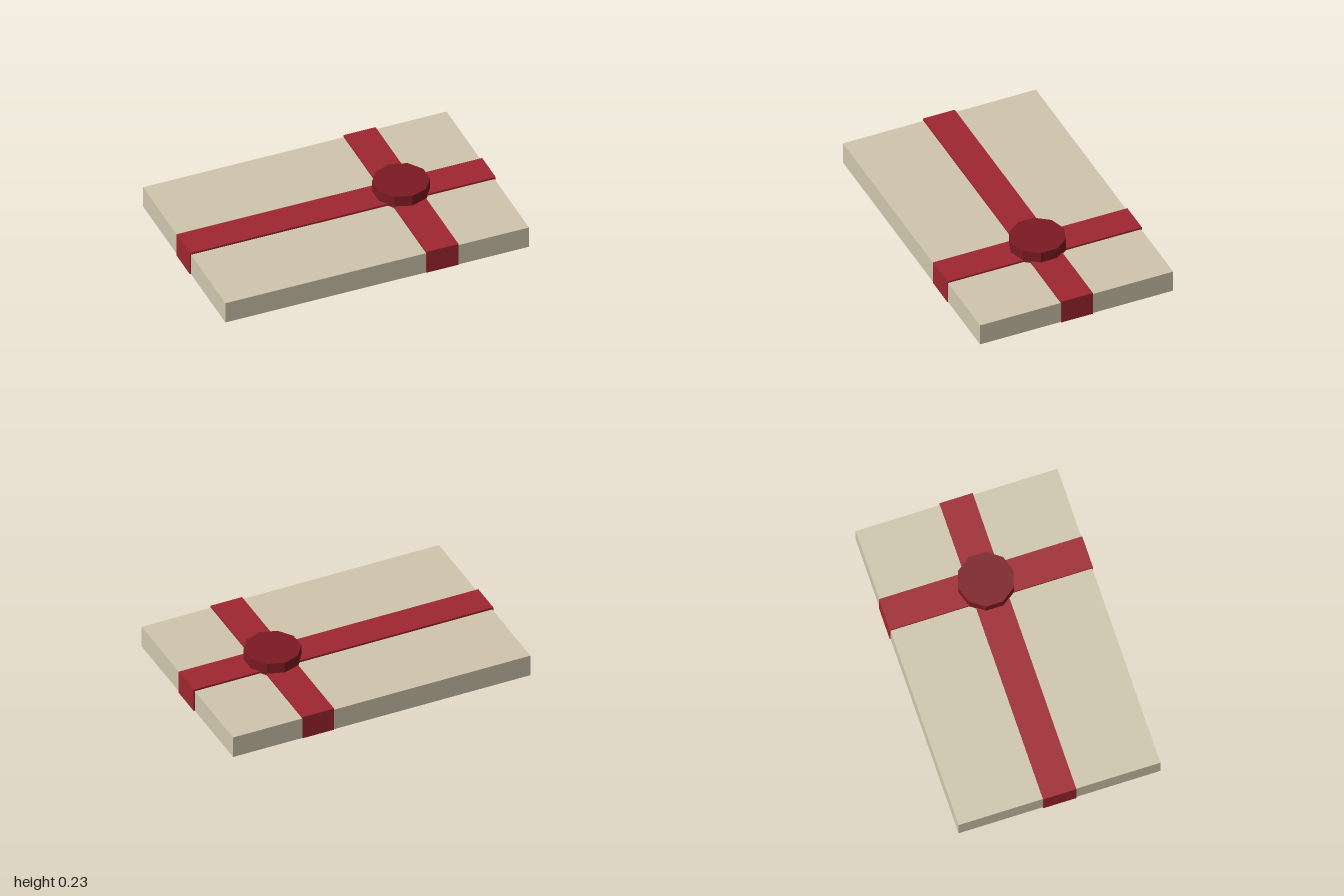
import * as THREE from 'three';

export function createModel() {
  const group = new THREE.Group();
  group.name = 'wrappedParcel';

  const add = (name, geometry, color, x, y, z) => {
    const material = new THREE.MeshStandardMaterial({ color, flatShading: true });
    const mesh = new THREE.Mesh(geometry, material);
    mesh.name = name;
    mesh.position.set(x, y, z);
    group.add(mesh);
  };
  // box standing on the given base height
  const slab = (name, w, top, d, color, x, base = 0) =>
    add(name, new THREE.BoxGeometry(w, top - base, d), color, x, (top + base) / 2, 0);

  const paper = 0xd0c6ae, ribbon = 0x9f2630, wax = 0x7c1a22;
  const knotX = 0.425;

  // flat parcel
  slab('parcel', 1.985, 0.144, 1.28, paper, 0);

  // crossing ribbons, bottoms just inside the parcel's underside
  slab('longRibbon', 2, 0.157, 0.21, ribbon, 0, 0.0006);
  slab('crossRibbon', 0.21, 0.156, 1.29, ribbon, knotX, 0.0006);

  // ten-sided seal over the crossing
  add('seal', new THREE.CylinderGeometry(0.176, 0.176, 0.084, 10), wax, knotX, 0.186, 0);

  return group;
}
